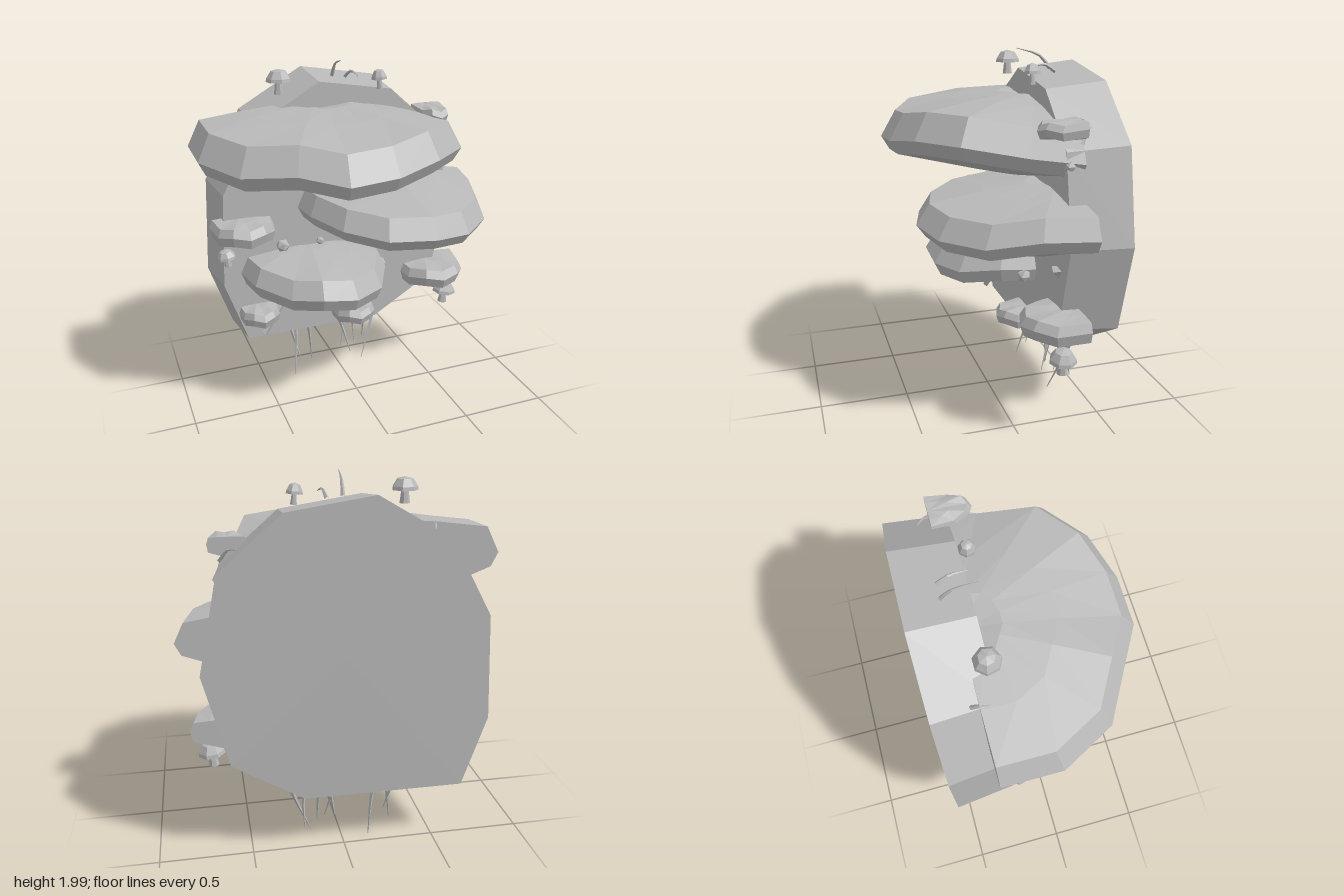
import * as THREE from 'three';

const V = (x, y, z) => new THREE.Vector3(x, y, z);
const grey = new THREE.MeshStandardMaterial({ color: 0xb8b8b8, flatShading: true });
grey.name = 'grey';

// Skin closed rings of equal length; collapsed rings close the ends
function loft(rings) {
  const pos = [];
  const tri = (a, b, c) => {
    const area = b.clone().sub(a).cross(c.clone().sub(a)).length();
    if (area > 1e-9) pos.push(...a.toArray(), ...b.toArray(), ...c.toArray());
  };
  for (let r = 0; r + 1 < rings.length; r++) {
    const a = rings[r], b = rings[r + 1], n = a.length;
    for (let i = 0; i < n; i++) {
      const j = (i + 1) % n;
      tri(a[i], a[j], b[j]);
      tri(a[i], b[j], b[i]);
    }
  }
  const g = new THREE.BufferGeometry();
  g.setAttribute('position', new THREE.Float32BufferAttribute(pos, 3));
  g.computeVertexNormals();
  return g;
}

// Half-disc bracket: outline [x, z, height offset], profile [scale, y]
function shelfGeometry(cx, cz, outline, profile) {
  return loft(profile.map(([s, y]) => outline.map(([x, z, dy]) =>
    V(cx + (x - cx) * s, y + dy * Math.min(1, s * s * 1.1), cz + (z - cz) * s))));
}

// Small bracket from its width, depth, top and bottom heights
function smallShelf(cx, cz, w, d, top, bottom, low) {
  const outline = [];
  for (let i = 0; i <= 6; i++) {
    const a = (i / 6) * Math.PI;
    outline.push([cx + Math.cos(a) * w, cz + Math.sin(a) ** 0.8 * d, i % 2 ? -0.008 : 0.008]);
  }
  const h = top - bottom;
  return shelfGeometry(cx, cz, outline, [[0, top], [0.5, top], [0.9, top - h * 0.1],
    [1, top - h * 0.5], [0.93, bottom], [0.45, (bottom + low) / 2], [0, low]]);
}

// Tube thinning towards its tip
function twigGeometry(points, radius, tip = 0.15) {
  const seg = 5, sides = 4;
  const curve = new THREE.CatmullRomCurve3(points.map(p => V(...p)));
  const g = new THREE.TubeGeometry(curve, seg, radius, sides);
  const p = g.attributes.position, v = V(0, 0, 0);
  for (let i = 0; i < p.count; i++) {
    const t = Math.floor(i / (sides + 1)) / seg;
    v.fromBufferAttribute(p, i).lerp(curve.getPointAt(t), t * (1 - tip));
    p.setXYZ(i, v.x, v.y, v.z);
  }
  return g;
}

export function createModel() {
  const model = new THREE.Group();
  const add = (name, geometry) => {
    const m = new THREE.Mesh(geometry, grey);
    m.name = name;
    model.add(m);
    return m;
  };

  // Bark slab, a little smaller at the front
  const outline = [[-0.64, 0.34], [-0.77, 0.73], [-0.74, 1.3], [-0.52, 1.7], [-0.14, 1.92],
    [0.31, 1.85], [0.63, 1.57], [0.73, 1.07], [0.6, 0.57], [0.22, 0.34]];
  const ring = (s, z) => outline.map(([x, y]) => V(x * s, 1.12 + (y - 1.12) * s, z));
  add('barkSlab', loft([ring(0, -0.22), ring(0.955, -0.22), ring(1, -0.55), ring(0, -0.55)]));

  // Three large brackets
  add('upperShelf', shelfGeometry(-0.12, -0.31,
    [[0.64, -0.31, -0.06], [0.57, -0.05, -0.03], [0.49, 0.28, 0.03], [0.27, 0.46, 0.03],
      [0.02, 0.545, -0.01], [-0.24, 0.55, -0.03], [-0.46, 0.42, 0.01], [-0.71, 0.28, -0.01],
      [-0.86, 0, 0.01], [-0.86, -0.31, 0.02]],
    [[0, 1.73], [0.24, 1.76], [0.55, 1.735], [0.905, 1.69], [1, 1.55], [0.95, 1.475],
      [0.5, 1.36], [0.13, 1.28], [0, 1.28]]));
  add('middleShelf', shelfGeometry(0.28, -0.31,
    [[0.85, -0.31, 0.02], [0.79, -0.04, 0.02], [0.7, 0.22, -0.02], [0.5, 0.4, -0.02],
      [0.28, 0.465, 0], [0.03, 0.4, 0], [-0.16, 0.22, 0.02], [-0.26, -0.04, 0.03],
      [-0.29, -0.31, 0.03]],
    [[0, 1.32], [0.24, 1.33], [0.55, 1.3], [0.91, 1.255], [1, 1.145], [0.94, 1.08],
      [0.5, 1.0], [0.13, 0.92], [0, 0.92]]));
  add('lowerShelf', shelfGeometry(-0.2, -0.28,
    [[0.23, -0.28, 0], [0.19, -0.02, 0.01], [0.08, 0.19, -0.02], [-0.1, 0.29, -0.02],
      [-0.3, 0.3, 0.015], [-0.45, 0.2, 0], [-0.6, 0.0, 0.02], [-0.64, -0.28, 0.01]],
    [[0, 0.93], [0.25, 0.935], [0.55, 0.92], [0.9, 0.895], [1, 0.8], [0.94, 0.725],
      [0.5, 0.66], [0.15, 0.61], [0, 0.61]]));

  // Small brackets: x, z, half width, depth, top, bottom, lowest point
  [[-0.605, -0.26, 0.185, 0.24, 1.15, 1.04, 1.02], [0.585, -0.31, 0.215, 0.31, 0.72, 0.6, 0.54],
    [0.56, -0.31, 0.1, 0.23, 1.7, 1.62, 1.6], [-0.54, -0.26, 0.125, 0.2, 0.6, 0.51, 0.5],
    [0.05, -0.25, 0.14, 0.21, 0.52, 0.43, 0.41]]
    .forEach(a => add('smallShelf', smallShelf(...a)));

  // Mushrooms: x, base height, z, cap radius, total height, lean
  [[-0.36, 1.83, -0.23, 0.07, 0.135, 0], [0.21, 1.83, -0.18, 0.045, 0.11, 0.08],
    [0.68, 0.4, -0.2, 0.075, 0.145, -0.12], [-0.71, 0.89, -0.18, 0.055, 0.1, 0.15]]
    .forEach(([x, y, z, r, h, lean]) => {
      const profile = [[0, 0], [r * 0.4, 0], [r * 0.28, h * 0.5], [r * 0.3, h * 0.56],
        [r, h * 0.5], [r * 0.95, h * 0.64], [r * 0.6, h * 0.92], [0, h]];
      const m = add('mushroom',
        new THREE.LatheGeometry(profile.map(p => new THREE.Vector2(...p)), 7));
      m.position.set(x, y, z);
      m.rotation.z = lean;
    });

  // Hanging roots: top x, tip x, tip y, top z, tip z
  [[-0.33, -0.26, 0.1, -0.4, -0.34], [-0.27, -0.31, 0.01, -0.4, -0.29],
    [-0.2, -0.15, 0.01, -0.42, -0.44], [0, 0.08, 0.08, -0.41, -0.32],
    [0.05, 0.025, 0.1, -0.39, -0.36], [0.11, 0.13, 0.1, -0.43, -0.38],
    [0.2, 0.21, 0.1, -0.41, -0.45], [0.3, 0.16, 0.01, -0.43, -0.33]]
    .forEach(([x0, x1, y1, z0, z1]) => add('root', twigGeometry(
      [[x0, 0.4, z0], [x0 * 0.6 + x1 * 0.4 + 0.01, 0.25, z0 * 0.6 + z1 * 0.4], [x1, y1, z1]], 0.016)));

  // Curled shoots along the upper edge
  [[[-0.01, 1.89, -0.36], [-0.015, 1.96, -0.3], [-0.025, 2, -0.17]],
    [[0.07, 1.88, -0.36], [0.08, 1.92, -0.29], [0.09, 1.9, -0.2]],
    [[-0.49, 1.7, -0.35], [-0.51, 1.74, -0.29], [-0.53, 1.71, -0.2]],
    [[0.6, 1.58, -0.3], [0.56, 1.64, -0.34], [0.52, 1.65, -0.38]]]
    .forEach(p => add('shoot', twigGeometry(p, 0.012)));

  // Broken stub, bark splinter and knots
  add('stub', twigGeometry([[-0.35, 0.66, -0.2], [-0.45, 0.54, -0.17], [-0.53, 0.43, -0.15]], 0.022, 0.9));
  const s = [V(0.5, 0.93, -0.2), V(0.69, 0.975, -0.43), V(0.55, 0.85, -0.24)];
  add('splinter', loft([s.map(() => V(0.57, 0.92, -0.18)), s, s.map(() => V(0.55, 0.92, -0.4))]));
  [[-0.39, 0.97, -0.17, 0.04], [0.21, 0.77, -0.15, 0.04], [0.6, 1.48, -0.24, 0.035],
    [-0.15, 0.95, -0.21, 0.025]].forEach(([x, y, z, r]) =>
    add('knot', new THREE.IcosahedronGeometry(r, 0)).position.set(x, y, z));

  return model;
}
